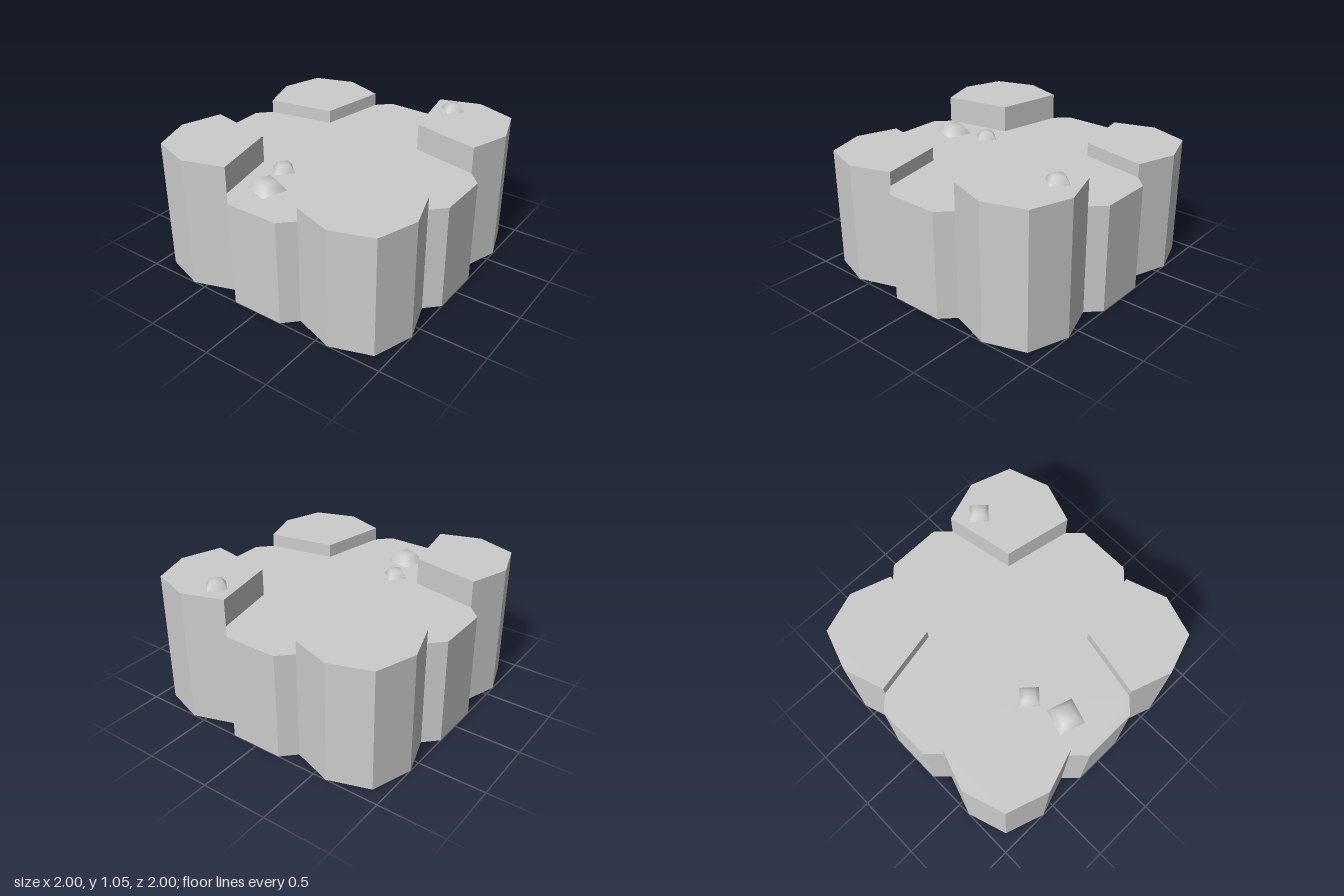
import * as THREE from 'three';

const material = new THREE.MeshStandardMaterial({ color: 0xcccccc });

// Upright prism from y = 0, its footprint given as [x, z] points
function prism(name, points, height) {
  const shape = new THREE.Shape(points.map(([x, z]) => new THREE.Vector2(x, -z)));
  const geometry = new THREE.ExtrudeGeometry(shape, { depth: height, bevelEnabled: false });
  geometry.rotateX(-Math.PI / 2);
  const mesh = new THREE.Mesh(geometry, material);
  mesh.name = name;
  return mesh;
}

// Quarter turns about the y axis
function turn([x, z], times) {
  for (let i = 0; i < times; i++) [x, z] = [-z, x];
  return [x, z];
}

// Smooth four-sided pebble with a narrower top
function pebble(name, radius, height, x, y, z, angle) {
  const profile = [[radius, 0], [radius * 0.57, height], [0, height]];
  const geometry = new THREE.LatheGeometry(profile.map(([r, h]) => new THREE.Vector2(r, h)), 4);
  const mesh = new THREE.Mesh(geometry, material);
  mesh.name = name;
  mesh.position.set(x, y, z);
  mesh.rotation.y = angle;
  return mesh;
}

export function createModel() {
  const group = new THREE.Group();
  group.name = 'cliffCrossing';

  // Low cross-shaped ground, one arm and inner corner per quarter turn
  const arm = [[0.2, 1], [-0.2, 1], [-0.3, 0.9], [-0.4, 0.4], [-0.9, 0.3]];
  const cross = [0, 1, 2, 3].flatMap((q) => arm.map((p) => turn(p, q)));
  group.add(prism('lowGround', cross, 0.8));

  // Raised blocks at the corners, alternating in height
  const block = [[0.4, 0.4], [0.9, 0.3], [1, 0.6], [0.9, 0.9], [0.6, 1], [0.3, 0.9]];
  const names = ['frontLeftBlock', 'frontRightBlock', 'backRightBlock', 'backLeftBlock'];
  names.forEach((name, q) => {
    group.add(prism(name, block.map((p) => turn(p, q)), q % 2 ? 0.9 : 1));
  });

  // Pebbles
  group.add(
    pebble('largePebble', 0.137, 0.065, -0.695, 0.8, -0.12, 0.48),
    pebble('smallPebble', 0.097, 0.05, -0.42, 0.8, -0.2, 0.05),
    pebble('blockPebble', 0.097, 0.05, 0.785, 1, 0.475, 0.05)
  );
  return group;
}
